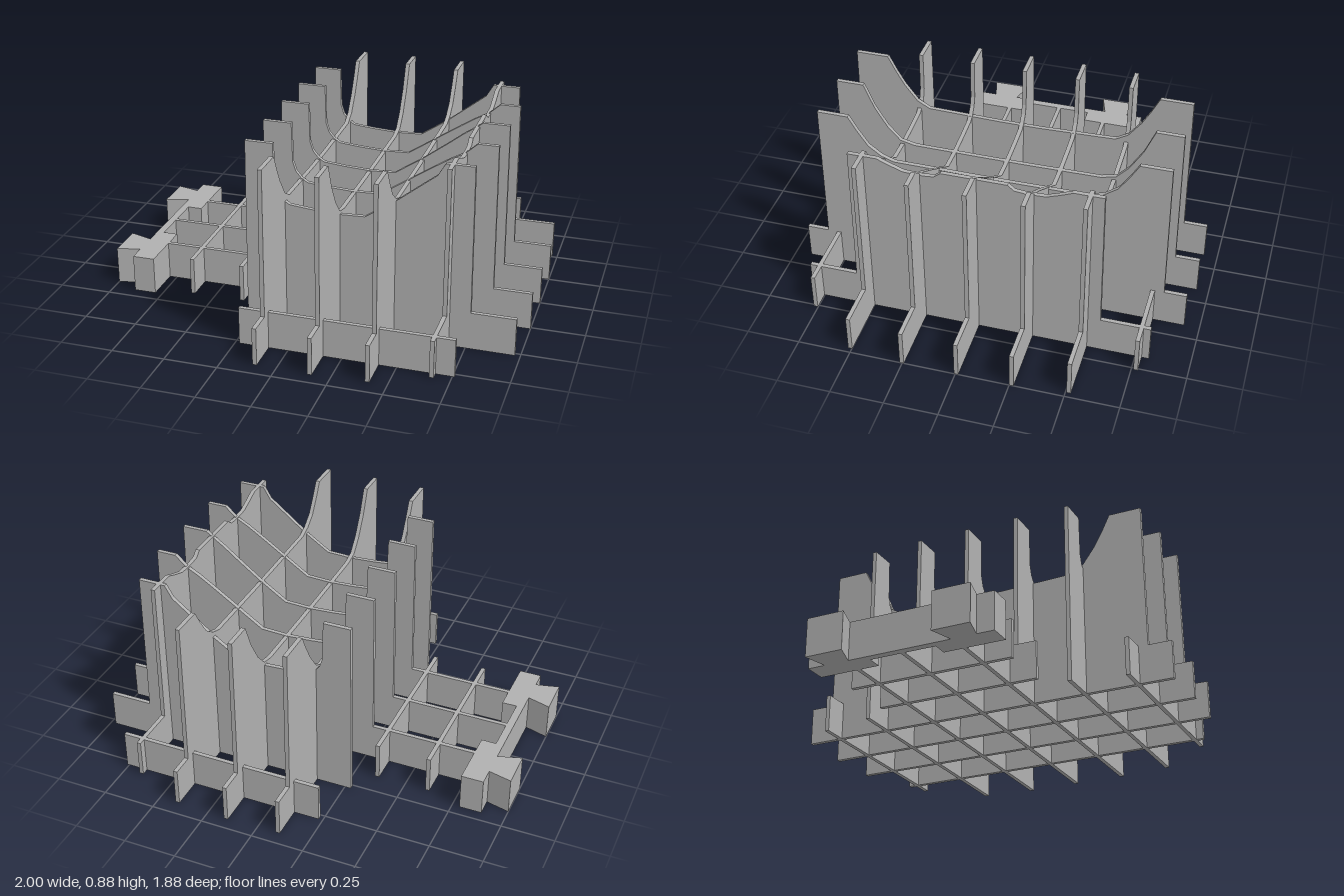
import * as THREE from 'three';

const BASE = 0.18, TOP = 0.88, T = 0.02;

export function createModel() {
  const group = new THREE.Group();
  const grey = new THREE.MeshStandardMaterial({ color: 0xb0b0b0 });
  grey.name = 'plain grey';

  const add = (name, points, depth, place) => {
    const shape = new THREE.Shape(points.map(([a, b]) => new THREE.Vector2(a, b)));
    const geometry = new THREE.ExtrudeGeometry(shape, { depth, bevelEnabled: false });
    place(geometry);
    const mesh = new THREE.Mesh(geometry, grey);
    mesh.name = name;
    group.add(mesh);
  };

  // Outline of a rib: low base from b0 to b1, tall wall from t0 to t1 with a carved top
  const outline = (b0, b1, t0, t1, top) => {
    const p = [[b0, 0], [b1, 0], [b1, BASE]];
    if (top) {
      p.push([t1, BASE], [t1 - 0.005, TOP], ...[...top].reverse(), [t0 + 0.005, TOP], [t0, BASE]);
    }
    if (!top || b0 < t0) p.push([b0, BASE]);
    return p;
  };
  const longRib = (z, points) => add('longRib', points, T, g => g.translate(0, 0, z - T / 2));
  const crossRib = (x, points) => add('crossRib', points, T, g => {
    g.rotateY(-Math.PI / 2);
    g.translate(x + T / 2, 0, 0);
  });

  // Ribs running along x, carved to the cradle profile
  const cradle = end => [
    [-0.145, TOP], [-0.14, 0.69], [-0.125, 0.645], [-0.1, 0.615], [-0.07, 0.595],
    [0.03, 0.585], [0.155, 0.578], [0.28, 0.583], [0.41, 0.67], ...end,
  ];
  const centreEnd = [[0.53, 0.76], [0.6, 0.815], [0.665, 0.86], [0.69, TOP]];
  const middleEnd = [[0.53, 0.75], [0.6, 0.795], [0.665, 0.83], [0.72, TOP]];
  const outerEnd = [[0.53, 0.765], [0.6, 0.82], [0.635, TOP]];
  longRib(-0.004, outline(-0.86, 1, -0.285, 0.82, cradle(centreEnd)));
  for (const z of [-0.26, 0.252]) longRib(z, outline(-0.785, 1, -0.285, 0.82, cradle(middleEnd)));
  for (const z of [-0.515, 0.508]) longRib(z, outline(-0.28, 0.975, -0.28, 0.77, cradle(outerEnd)));
  for (const z of [-0.77, 0.762]) longRib(z, outline(-0.23, 0.76));

  // Ribs running along z; half profiles are mirrored about the middle
  const mirrored = half => [
    ...[...half].reverse().map(([z, y]) => [-z - 0.003, y]),
    ...half.map(([z, y]) => [z - 0.003, y]),
  ];
  const crossData = [
    [-0.1, 0.932, 0.82, [[0.1, 0.605], [0.46, 0.615], [0.52, 0.65], [0.58, 0.73], [0.62, 0.8], [0.66, TOP]]],
    [0.155, 0.94, 0.825, [[0.1, 0.575], [0.45, 0.578], [0.52, 0.595], [0.58, 0.66], [0.64, 0.76], [0.69, TOP]]],
    [0.41, 0.925, 0.82, [[0.1, 0.665], [0.46, 0.668], [0.52, 0.69], [0.58, 0.735], [0.63, 0.81], [0.67, TOP]]],
    [0.665, 0.81, 0.58, [[0.15, 0.86], [0.18, 0.835], [0.23, 0.83], [0.32, 0.833], [0.38, 0.855], [0.44, TOP]]],
  ];
  for (const [x, base, tall, half] of crossData) {
    crossRib(x, outline(-base - 0.003, base - 0.003, -tall - 0.003, tall - 0.003, mirrored(half)));
  }
  for (const x of [-0.61, -0.36]) crossRib(x, outline(-0.397, 0.39));

  // Connector: a bar with two blocks and flared tongues, drawn in plan
  const half = [
    [-0.855, 0.157], [-0.785, 0.157], [-0.785, 0.445], [-0.89, 0.445],
    [-0.89, 0.363], [-1, 0.39], [-1, 0.211], [-0.89, 0.245],
  ];
  const plan = [...half, ...[...half].reverse().map(([x, z]) => [x, -z])];
  add('connector', plan.map(([x, z]) => [x, -z + 0.004]), BASE, g => g.rotateX(-Math.PI / 2));

  return group;
}
